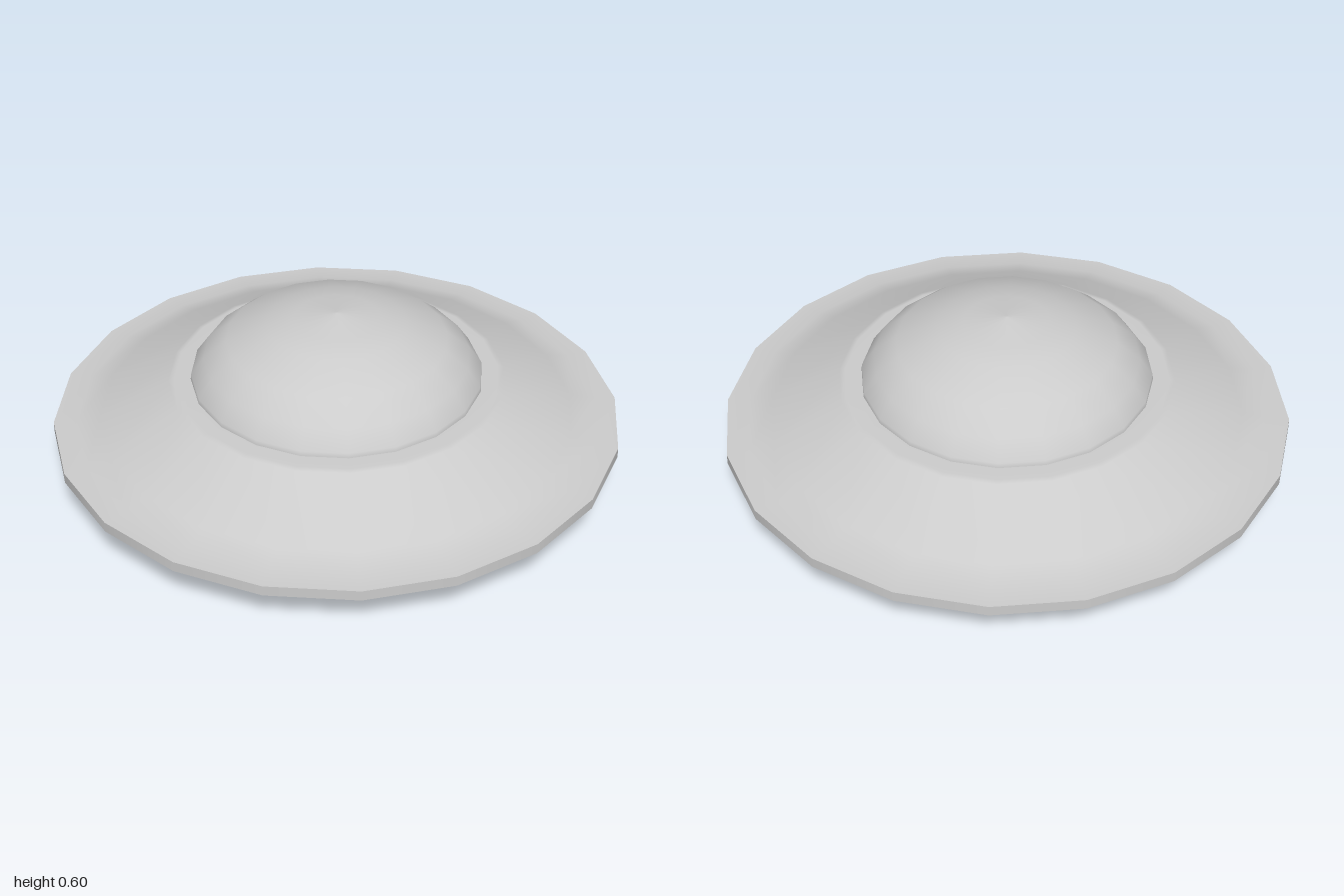
import * as THREE from 'three';

const SIDES = 20;

// Revolves a profile of [radius, height] pairs, listed from the underside up to the top.
function revolve(name, profile, material) {
  const points = profile.map(([r, y]) => new THREE.Vector2(r, y));
  const mesh = new THREE.Mesh(new THREE.LatheGeometry(points, SIDES), material);
  mesh.name = name;
  return mesh;
}

export function createModel() {
  const group = new THREE.Group();
  group.name = 'flyingSaucer';
  const material = new THREE.MeshStandardMaterial({ color: 0xcccccc });

  // Each part ends at a hard crease, so normals stay smooth only within a part.
  const parts = {
    basePlate: [[0, 0], [0.46, 0]],
    lowerHull: [[0.46, 0], [0.64, 0.065], [0.83, 0.132], [0.92, 0.149], [1, 0.15]],
    rim: [[1, 0.15], [1, 0.187]],
    upperHull: [[1, 0.187], [0.92, 0.189], [0.835, 0.212], [0.59, 0.343], [0.57, 0.347], [0.5, 0.347]],
    dome: [[0.512, 0.345], [0.51, 0.365], [0.465, 0.43], [0.385, 0.497], [0.24, 0.555], [0.15, 0.574], [0, 0.595]],
  };
  for (const [name, profile] of Object.entries(parts)) group.add(revolve(name, profile, material));

  return group;
}
